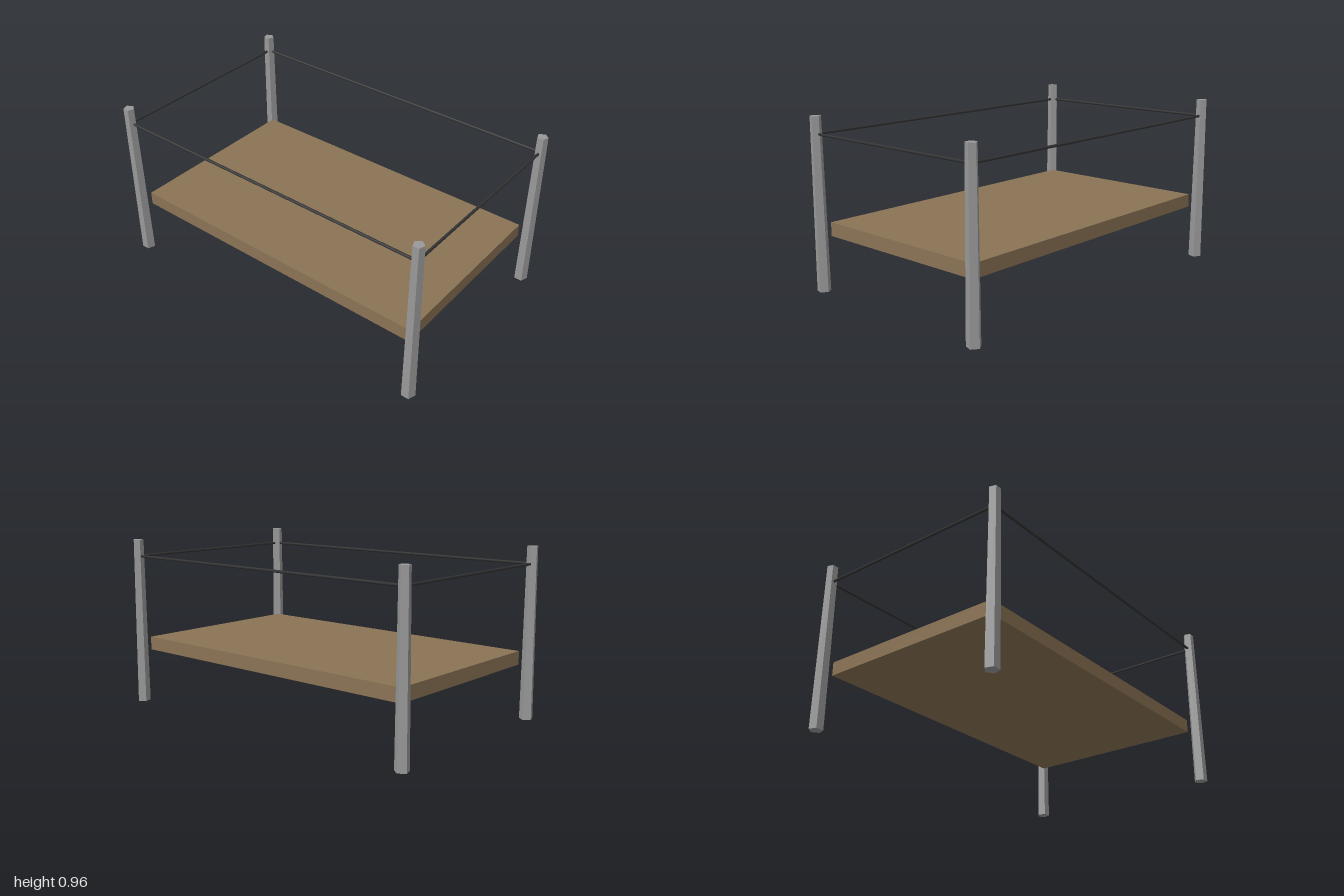
import * as THREE from 'three';

const POST_X = 0.963, POST_Z = 0.578, POST_H = 0.963, ROPE_Y = 0.867;
const SHIFT_Z = 0.0037; // centres the five-sided posts' footprint

export function createModel() {
  const wood = new THREE.MeshStandardMaterial({ color: 0x8b7355 });
  wood.name = 'brown wood';
  const stone = new THREE.MeshStandardMaterial({ color: 0x999999 });
  stone.name = 'grey post';
  const dark = new THREE.MeshStandardMaterial({ color: 0x333333 });
  dark.name = 'dark rail';

  const model = new THREE.Group();
  model.name = 'railedPlatform';
  const add = (name, geometry, material, x, y, z) => {
    const mesh = new THREE.Mesh(geometry, material);
    mesh.name = name;
    mesh.position.set(x, y, z + SHIFT_Z);
    model.add(mesh);
    return mesh;
  };

  // Platform slab
  add('deck', new THREE.BoxGeometry(1.85, 0.077, 1.079), wood, 0, 0.347, 0);

  // Tapered five-sided corner posts, one edge pointing back, faceted
  const postGeo = new THREE.CylinderGeometry(0.0308, 0.0385, POST_H, 5)
    .rotateY(Math.PI).toNonIndexed();
  postGeo.computeVertexNormals();

  // Rails run between post centres
  const longRail = new THREE.CylinderGeometry(0.0077, 0.0077, POST_X * 2, 8).rotateZ(Math.PI / 2);
  const shortRail = new THREE.CylinderGeometry(0.0077, 0.0077, POST_Z * 2, 8).rotateX(Math.PI / 2);

  for (const s of [1, -1]) {
    const end = s > 0 ? 'front' : 'back';
    const side = s > 0 ? 'left' : 'right';
    add(`${end}LeftPost`, postGeo, stone, POST_X, POST_H / 2, s * POST_Z);
    add(`${end}RightPost`, postGeo, stone, -POST_X, POST_H / 2, s * POST_Z);
    add(`${end}Rail`, longRail, dark, 0, ROPE_Y, s * POST_Z);
    add(`${side}Rail`, shortRail, dark, s * POST_X, ROPE_Y, 0);
  }
  return model;
}
